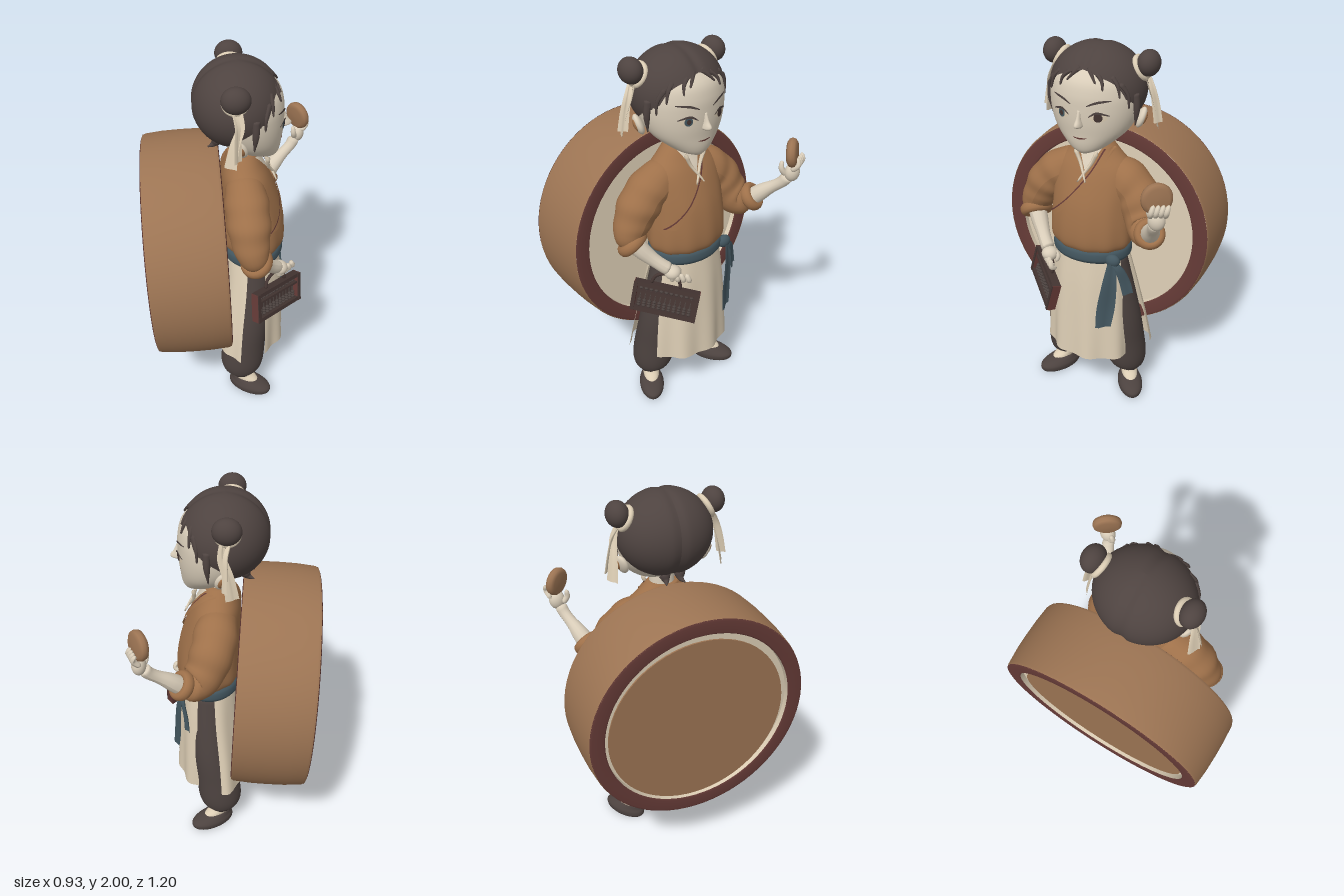
import * as THREE from 'three';

const V = (p) => new THREE.Vector3(...p);
const paint = (name, color) => Object.assign(new THREE.MeshStandardMaterial({ color, side: THREE.DoubleSide }), { name });

// Catmull-Rom sample of rows of numbers, t in 0..1
function sample(rows, t) {
  const n = rows.length - 1, f = Math.min(t * n, n - 1e-6), i = Math.floor(f), s = f - i;
  const g = (k) => rows[Math.max(0, Math.min(n, k))];
  return rows[0].map((_, c) => {
    const [a, b, d, e] = [g(i - 1)[c], g(i)[c], g(i + 1)[c], g(i + 2)[c]];
    return b + 0.5 * s * (d - a + s * (2 * a - 5 * b + 4 * d - e + s * (3 * (b - d) + e - a)));
  });
}

// Skin over elliptical rows [y, x, z, rx, rz], ascending; a from..to range leaves it open
function loft(rows, { from = 0, to = Math.PI * 2, seg = 48, steps = 36, ripple = () => 0 } = {}) {
  const closed = to - from > 6.28, cols = closed ? seg : seg + 1, pos = [], idx = [];
  for (let i = 0; i <= steps; i++) {
    const [y, x, z, rx, rz] = sample(rows, i / steps);
    for (let j = 0; j < cols; j++) {
      const a = from + (to - from) * j / seg, r = 1 + ripple(a, i / steps);
      pos.push(x + Math.sin(a) * rx * r, y, z + Math.cos(a) * rz * r);
    }
  }
  for (let i = 0; i < steps; i++) for (let j = 0; j < seg; j++) {
    const a = i * cols + j, b = i * cols + (j + 1) % cols;
    idx.push(a, b, a + cols, b, b + cols, a + cols);
  }
  if (closed) [[rows[0], 0], [rows[rows.length - 1], steps * cols]].forEach(([r, base]) => {
    const c = pos.push(r[1], r[0], r[2]) / 3 - 1;
    for (let j = 0; j < seg; j++) {
      const a = base + j, b = base + (j + 1) % seg;
      base ? idx.push(c, a, b) : idx.push(c, b, a);
    }
  });
  const g = new THREE.BufferGeometry();
  g.setAttribute('position', new THREE.Float32BufferAttribute(pos, 3));
  g.setIndex(idx);
  g.computeVertexNormals();
  return g;
}

// Front surface depth of a loft at x, y
function depth(rows, x, y) {
  let best = rows[0];
  for (let i = 0; i <= 150; i++) {
    const r = sample(rows, i / 150);
    if (Math.abs(r[0] - y) < Math.abs(best[0] - y)) best = r;
  }
  return best[2] + best[4] * Math.sqrt(Math.max(0, 1 - ((x - best[1]) / best[3]) ** 2));
}

function grid(nu, nv, f) {
  const g = new THREE.PlaneGeometry(1, 1, nu, nv), p = g.attributes.position, uv = g.attributes.uv;
  for (let i = 0; i < p.count; i++) p.setXYZ(i, ...f(uv.getX(i), uv.getY(i)));
  g.computeVertexNormals();
  return g;
}
// Thin patch lying on the front of a loft
const patch = (rows, f, lift = 0.004) => grid(16, 10, (u, v) => {
  const [x, y] = f(u, v);
  return [x, y, depth(rows, x, y) + lift];
});
const oval = (cx, cy, rx, ry) => (u, v) => [cx + rx * v * Math.cos(u * 2 * Math.PI), cy + ry * v * Math.sin(u * 2 * Math.PI)];
const stroke = (path, w) => (u, v) => {
  const [x, y] = sample(path, u);
  return [x, y + (v - 0.5) * w * (0.35 + Math.sin(u * Math.PI))];
};
// Cloth strip along rows [x, y, z, width], spread along dir
const ribbon = (rows, dir) => grid(4, 16, (u, v) => {
  const [x, y, z, w] = sample(rows, v), s = (u - 0.5) * w;
  return [x + dir[0] * s, y + dir[1] * s, z + dir[2] * s + 0.006 * Math.sin(u * 7)];
});

// Tube with rounded ends along rows [x, y, z, radius]
function limb(rows, { cap = 0.06, fold = 0, n = 30, k = 14 } = {}) {
  const curve = new THREE.CatmullRomCurve3(rows.map((r) => V(r)));
  const g = new THREE.TubeGeometry(curve, n, 1, k), p = g.attributes.position, v = new THREE.Vector3();
  for (let i = 0; i <= n; i++) {
    const t = i / n, e = Math.max(0, 1 - Math.min(t, 1 - t) / cap), c = curve.getPointAt(t);
    const r = sample(rows, t)[3] * Math.sqrt(Math.max(0.0005, 1 - e * e));
    for (let j = 0; j <= k; j++) {
      const q = i * (k + 1) + j, w = 1 + fold * Math.sin(t * 26 + 1.5 * Math.sin(j / k * 2 * Math.PI));
      v.fromBufferAttribute(p, q).sub(c).multiplyScalar(r * w).add(c);
      p.setXYZ(q, v.x, v.y, v.z);
    }
  }
  g.computeVertexNormals();
  return g;
}
const ball = (x, y, z, rx, ry = rx, rz = rx) => new THREE.SphereGeometry(1, 28, 20).scale(rx, ry, rz).translate(x, y, z);

export function createModel() {
  const skin = paint('skin', 0xd9cdb9), cream = paint('cream cloth', 0xdccdb4), hair = paint('hair', 0x4e4340);
  const tunic = paint('tunic brown', 0x9f714a), wood = paint('drum wood', 0x9c7453), rim = paint('dark red', 0x643a36);
  const dark = paint('trousers', 0x4c423f), blue = paint('sash blue', 0x43565f), ebony = paint('dark wood', 0x443532);
  // The figure is built facing local +z, then turned towards +x
  const model = new THREE.Group(), body = new THREE.Group();
  body.name = 'figure';
  body.rotation.y = Math.PI / 2;
  model.add(body);
  const add = (name, geo, mat, parent = body) => {
    const m = new THREE.Mesh(geo, mat);
    m.name = name;
    parent.add(m);
    return m;
  };
  const group = (name) => { const g = new THREE.Group(); g.name = name; body.add(g); return g; };

  // Drum carried on the back
  const drum = group('drum');
  drum.position.set(0, 0.947, -0.245);
  drum.rotation.x = Math.PI / 2 - 0.042;
  const lathe = (pts) => new THREE.LatheGeometry(pts.map((p) => new THREE.Vector2(...p)), 72);
  add('drumShell', lathe([[0.585, -0.193], [0.591, -0.18], [0.599, -0.09], [0.601, 0], [0.6, 0.09], [0.594, 0.18], [0.588, 0.193]]), wood, drum);
  for (const s of [1, -1]) {
    add('drumRim', lathe([[0.587, 0.192 * s], [0.575, 0.197 * s], [0.515, 0.197 * s], [0.507, 0.19 * s]]), rim, drum);
    add('drumInnerWall', lathe([[0.507, 0.19 * s], [0.505, 0.16 * s]]), cream, drum);
    add('drumHead', lathe([[0, 0.162 * s], [0.507, 0.162 * s]]), cream, drum);
  }
  add('drumBackPanel', new THREE.CylinderGeometry(0.483, 0.483, 0.008, 64).translate(0, -0.167, 0.022), wood, drum);

  // Head and face
  const headRows = [[1.495, 0, 0.175, 0.03, 0.035], [1.515, 0, 0.155, 0.08, 0.07], [1.55, 0, 0.12, 0.13, 0.115], [1.6, 0, 0.085, 0.183, 0.155],
    [1.66, 0, 0.06, 0.215, 0.187], [1.73, 0, 0.045, 0.231, 0.204], [1.8, 0, 0.035, 0.231, 0.21], [1.87, 0, 0.025, 0.21, 0.195], [1.94, 0, 0.01, 0.13, 0.13]];
  add('head', loft(headRows), skin);
  add('nose', loft([[1.643, 0, 0.245, 0.012, 0.01], [1.653, 0, 0.25, 0.02, 0.034], [1.667, 0, 0.25, 0.018, 0.037], [1.69, 0, 0.248, 0.012, 0.021], [1.73, 0, 0.244, 0.008, 0.008]], { steps: 20 }), skin);
  add('mouth', patch(headRows, stroke([[-0.035, 1.588], [0, 1.585], [0.035, 1.59]], 0.006)), rim);
  add('neck', new THREE.CylinderGeometry(0.06, 0.072, 0.18, 28).translate(0, 1.5, 0.05), skin);
  for (const s of [1, -1]) {
    add('eye', patch(headRows, oval(s * 0.095, 1.702, 0.04, 0.022)), cream);
    add('iris', patch(headRows, oval(s * 0.095, 1.703, 0.02, 0.022), 0.007), s > 0 ? ebony : blue);
    add('pupil', patch(headRows, oval(s * 0.095, 1.703, 0.01, 0.013), 0.009), ebony);
    add('eyelid', patch(headRows, stroke([[s * 0.05, 1.705], [s * 0.09, 1.727], [s * 0.145, 1.713]], 0.009), 0.008), hair);
    add('eyebrow', patch(headRows, stroke([[s * 0.04, 1.757], [s * 0.09, 1.777], [s * 0.15, 1.785]], 0.009)), hair);
    const ear = group('ear');
    ear.position.set(s * 0.226, 1.65, 0.015);
    ear.rotation.set(-0.2, s * 0.5, -s * 0.3);
    add('earShell', ball(0, 0, 0, 0.022, 0.054, 0.04), skin, ear);
    add('earHollow', ball(s * 0.012, 0.004, 0.01, 0.014, 0.034, 0.022), tunic, ear);
  }

  // Hair cap: a sphere whose lower edge follows the hairline, with a centre parting
  const line = [[1.915], [1.888], [1.84], [1.69], [1.645], [1.63], [1.6], [1.58], [1.575]];
  add('hairCap', grid(96, 30, (u, v) => {
    const a = (u - 0.5) * Math.PI * 2, edge = sample(line, Math.abs(a) / Math.PI)[0];
    const th = (1 - v) * Math.acos((edge - 1.787) / 0.215), x = Math.sin(th) * Math.sin(a);
    const k = 1 - 0.045 * Math.exp(-((x / 0.1) ** 2)) * Math.min(1, 0.4 + th);
    return [x * 0.245, 1.787 + Math.cos(th) * 0.215 * (k + 0.01), 0.018 + Math.sin(th) * Math.cos(a) * 0.222 * k];
  }), hair);
  const strand = (pts, r, out = 0.004) => limb(pts.map(([x, y], i) => [x, y, depth(headRows, x, y) + out, r * (1 - i / pts.length)]), { n: 14, k: 8 });
  for (const s of [1, -1]) {
    const locks = [[[0.02, 1.92], [0.05, 1.89], [0.075, 1.86]], [[0.06, 1.905], [0.1, 1.87], [0.11, 1.83]],
      [[0.13, 1.89], [0.165, 1.85], [0.18, 1.79]], [[0.17, 1.86], [0.205, 1.8], [0.21, 1.73]]];
    locks.forEach((l) => add('fringeLock', strand(l.map(([x, y]) => [s * x, y]), 0.014, 0.007), hair));
    add('sideLock', limb([[s * 0.222, 1.8, 0.09, 0.02], [s * 0.23, 1.72, 0.09, 0.016], [s * 0.222, 1.63, 0.085, 0.003]]), hair);
    add('napeTuft', limb([[s * 0.04, 1.6, -0.08, 0.03], [s * 0.04, 1.575, -0.1, 0.015], [s * 0.05, 1.565, -0.13, 0.003]]), hair);
    // Buns with cloth wraps and trailing ribbons
    add('hairBun', ball(s * 0.25, 1.92, -0.005, 0.056, 0.064, 0.07), hair);
    const wrap = add('bunWrap', new THREE.TorusGeometry(0.052, 0.015, 10, 28), cream);
    wrap.position.set(s * 0.212, 1.893, -0.005);
    wrap.rotation.set(0, Math.PI / 2, s * 0.5, 'ZYX');
    add('hairRibbon', ribbon([[s * 0.24, 1.87, 0.015, 0.02], [s * 0.265, 1.79, 0.015, 0.045], [s * 0.28, 1.7, -0.015, 0.055], [s * 0.295, 1.59, -0.035, 0.07]], [0.5, 0, s * 0.85]), cream);
    add('hairRibbon', ribbon([[s * 0.24, 1.87, -0.02, 0.02], [s * 0.275, 1.8, 0, 0.035], [s * 0.295, 1.72, 0.0, 0.045], [s * 0.31, 1.63, 0.0, 0.05]], [0.7, 0, -s * 0.7]), cream);
    add('ribbonKnot', ball(s * 0.243, 1.865, 0, 0.02), cream);
  }

  // Tunic with crossed collar
  const torso = [[0.945, 0, 0.1, 0.19, 0.145], [0.99, 0, 0.105, 0.22, 0.168], [1.08, 0, 0.105, 0.222, 0.168], [1.2, 0, 0.095, 0.215, 0.157],
    [1.31, 0, 0.075, 0.215, 0.14], [1.39, 0, 0.06, 0.2, 0.12], [1.455, 0, 0.05, 0.135, 0.095], [1.515, 0, 0.045, 0.076, 0.074]];
  add('tunic', loft(torso, { seg: 72, ripple: (a, t) => 0.018 * Math.sin(a * 11) * (1 - t) ** 2 }), tunic);
  add('neckOpening', patch(torso, (u, v) => [(u - 0.5) * 0.13 * v, 1.385 + 0.115 * v], 0.004), skin);
  const edge = (pts) => strand(pts.concat([pts[pts.length - 1]]), 0.012, 0.002);
  add('innerCollar', edge([[-0.062, 1.5], [-0.03, 1.43], [0.005, 1.37]]), cream);
  add('innerCollar', edge([[0.062, 1.5], [0.03, 1.43], [-0.01, 1.365]]), cream);
  const band = [[0.075, 1.49], [0.03, 1.385], [-0.07, 1.25], [-0.2, 1.12]];
  const along = (shift, w) => (u, v) => { const [x, y] = sample(band, u); return [x + shift + (v - 0.5) * w, y]; };
  add('collarTrim', patch(torso, along(0, 0.009), 0.008), rim);
  add('collarBand', patch(torso, along(0.022, 0.036), 0.009), tunic);

  // Sleeves, rolled cuffs and forearms
  const sleeve = { fold: 0.025, cap: 0.1, k: 24, n: 50 };
  add('rightSleeve', limb([[-0.06, 1.36, 0.05, 0.09], [-0.17, 1.32, 0.055, 0.108], [-0.255, 1.25, 0.06, 0.112], [-0.325, 1.14, 0.07, 0.108], [-0.345, 1.08, 0.085, 0.09], [-0.335, 1.045, 0.1, 0.07]], sleeve), tunic);
  add('leftSleeve', limb([[0.06, 1.36, 0.05, 0.09], [0.165, 1.32, 0.055, 0.108], [0.24, 1.25, 0.07, 0.112], [0.29, 1.15, 0.11, 0.108], [0.325, 1.11, 0.155, 0.097], [0.36, 1.125, 0.205, 0.08]], sleeve), tunic);
  const cuff = (name, at, dir, r) => {
    const m = add(name, new THREE.TorusGeometry(r, 0.024, 12, 28).scale(1, 1, 1.3), tunic);
    m.position.set(...at);
    m.quaternion.setFromUnitVectors(V([0, 0, 1]), V(dir).normalize());
  };
  cuff('rightCuff', [-0.34, 1.055, 0.095], [0.4, -0.7, 0.5], 0.064);
  cuff('leftCuff', [0.365, 1.13, 0.215], [0.4, 0.6, 0.7], 0.056);
  add('rightForearm', limb([[-0.35, 1.08, 0.08, 0.05], [-0.29, 0.99, 0.14, 0.046], [-0.23, 0.925, 0.2, 0.036], [-0.2, 0.9, 0.225, 0.036]]), skin);
  add('leftForearm', limb([[0.35, 1.1, 0.19, 0.05], [0.4, 1.19, 0.28, 0.045], [0.44, 1.26, 0.36, 0.031], [0.455, 1.3, 0.385, 0.033]]), skin);

  // Hands
  add('rightPalm', ball(-0.19, 0.885, 0.235, 0.044, 0.038, 0.044), skin);
  add('leftPalm', ball(0.465, 1.325, 0.4, 0.043, 0.052, 0.036), skin);
  for (let i = 0; i < 4; i++) {
    const a = i * 0.021;
    add('rightFinger', limb([[-0.215 + a, 0.89, 0.235 + a, 0.014], [-0.205 + a, 0.855, 0.25 + a, 0.014], [-0.19 + a, 0.835, 0.22 + a, 0.011]], { cap: 0.2, n: 12, k: 8 }), skin);
    add('leftFinger', limb([[0.438 + a, 1.345, 0.415 - a * 0.5, 0.014], [0.455 + a, 1.385, 0.447 - a * 0.5, 0.014], [0.46 + a, 1.42, 0.43 - a * 0.5, 0.011]], { cap: 0.2, n: 12, k: 8 }), skin);
  }
  add('rightThumb', limb([[-0.17, 0.9, 0.22, 0.016], [-0.145, 0.875, 0.23, 0.014], [-0.15, 0.845, 0.24, 0.01]], { cap: 0.2 }), skin);
  add('leftThumb', limb([[0.44, 1.31, 0.38, 0.017], [0.415, 1.35, 0.37, 0.015], [0.42, 1.39, 0.365, 0.011]], { cap: 0.2 }), skin);

  // Bread roll in the raised hand: a flat disc with rounded edges
  const crust = [[0, -0.027], [0.055, -0.026], [0.072, -0.016], [0.077, 0], [0.072, 0.016], [0.055, 0.026], [0, 0.027]];
  const bread = add('breadRoll', lathe(crust).rotateX(Math.PI / 2), wood);
  bread.position.set(0.46, 1.435, 0.395);
  bread.rotation.set(-0.1, 0.64, 0, 'YXZ');

  // Abacus hanging from the lowered hand
  const abacus = group('abacus');
  abacus.position.set(-0.23, 0.712, 0.222);
  abacus.rotation.set(-0.2, -0.8, -0.15, 'YXZ');
  const box = (name, w, h, d, x, y, z, mat) => add(name, new THREE.BoxGeometry(w, h, d).translate(x, y, z), mat, abacus);
  for (const s of [1, -1]) {
    box('abacusRail', 0.345, 0.022, 0.046, 0, s * 0.073, 0, ebony);
    box('abacusEnd', 0.02, 0.166, 0.048, s * 0.166, 0, 0, rim);
    box('abacusEndFace', 0.021, 0.166, 0.005, s * 0.166, 0, 0.024, ebony);
  }
  box('abacusDivider', 0.32, 0.012, 0.036, 0, 0.028, 0, ebony);
  box('abacusBack', 0.325, 0.14, 0.008, 0, 0, -0.016, ebony);
  for (let i = 0; i < 11; i++) {
    const x = -0.135 + i * 0.027;
    box('abacusRod', 0.005, 0.14, 0.005, x, 0, 0, dark);
    for (const y of [0.045, -0.055, -0.04, -0.025]) add('abacusBead', new THREE.SphereGeometry(1, 8, 6).scale(0.011, 0.007, 0.011).translate(x, y, 0.002), dark, abacus);
  }
  add('abacusHandle', limb([[-0.09, 0.08, 0, 0.009], [-0.07, 0.13, 0, 0.009], [0, 0.155, 0, 0.009], [0.05, 0.13, 0, 0.009], [0.07, 0.08, 0, 0.009]]), ebony, abacus);

  // Apron in front, skirt panel behind
  const fold = (n, d) => (a, t) => d * Math.sin(a * n) * (1 - t);
  add('frontApron', loft([[0.285, 0, 0.09, 0.255, 0.2], [0.5, 0, 0.095, 0.245, 0.185], [0.75, 0, 0.1, 0.222, 0.165], [0.95, 0, 0.1, 0.19, 0.145]],
    { from: -1.2, to: 1.2, ripple: fold(9, 0.045) }), cream);
  add('backSkirt', loft([[0.31, 0, 0.06, 0.335, 0.175], [0.5, 0, 0.07, 0.3, 0.165], [0.75, 0, 0.09, 0.245, 0.15], [0.95, 0, 0.1, 0.19, 0.145]],
    { from: Math.PI - 1.35, to: Math.PI + 1.35, ripple: fold(10, 0.03) }), cream);

  // Sash with knot and tails
  add('sash', loft([[0.895, 0, 0.1, 0.205, 0.158], [0.915, 0, 0.1, 0.216, 0.17], [0.95, 0, 0.1, 0.214, 0.168], [0.97, 0, 0.1, 0.2, 0.155]]), blue);
  add('sashKnot', ball(0.17, 0.925, 0.222, 0.04, 0.035, 0.028), blue);
  add('sashTail', ribbon([[0.175, 0.92, 0.245, 0.045], [0.17, 0.8, 0.262, 0.08], [0.155, 0.65, 0.272, 0.1], [0.145, 0.53, 0.285, 0.085]], [0.88, 0.1, -0.45]), blue);
  add('sashTail', ribbon([[0.18, 0.92, 0.235, 0.04], [0.215, 0.88, 0.23, 0.05], [0.24, 0.8, 0.215, 0.06], [0.255, 0.73, 0.21, 0.06]], [0.8, 0.2, -0.55]), blue);

  // Legs, socks and slippers
  for (const s of [1, -1]) {
    add('trouserLeg', loft([[0.105, s * 0.205, 0.035, 0.055, 0.058], [0.125, s * 0.205, 0.035, 0.068, 0.07], [0.15, s * 0.195, 0.038, 0.092, 0.104], [0.21, s * 0.183, 0.042, 0.112, 0.122],
      [0.33, s * 0.175, 0.055, 0.112, 0.118], [0.55, s * 0.147, 0.085, 0.118, 0.11], [0.9, s * 0.095, 0.1, 0.09, 0.1]],
    { ripple: (a, t) => 0.03 * Math.sin(a * 9) * Math.exp(-t * 6) }), dark);
    const foot = group(s > 0 ? 'leftFoot' : 'rightFoot');
    foot.position.set(s * 0.228, 0, 0.085);
    foot.rotation.y = s * 0.55;
    add('slipper', loft([[0, 0, 0, 0.062, 0.12], [0.012, 0, 0, 0.068, 0.128], [0.035, 0, 0, 0.069, 0.127], [0.055, 0, -0.012, 0.06, 0.106], [0.075, 0, -0.045, 0.048, 0.07]]), dark, foot);
    add('sock', loft([[0.05, 0, -0.015, 0.044, 0.08], [0.075, 0, -0.03, 0.045, 0.07], [0.1, 0, -0.045, 0.046, 0.052], [0.13, 0, -0.05, 0.045, 0.045]]), cream, foot);
  }
  return model;
}
